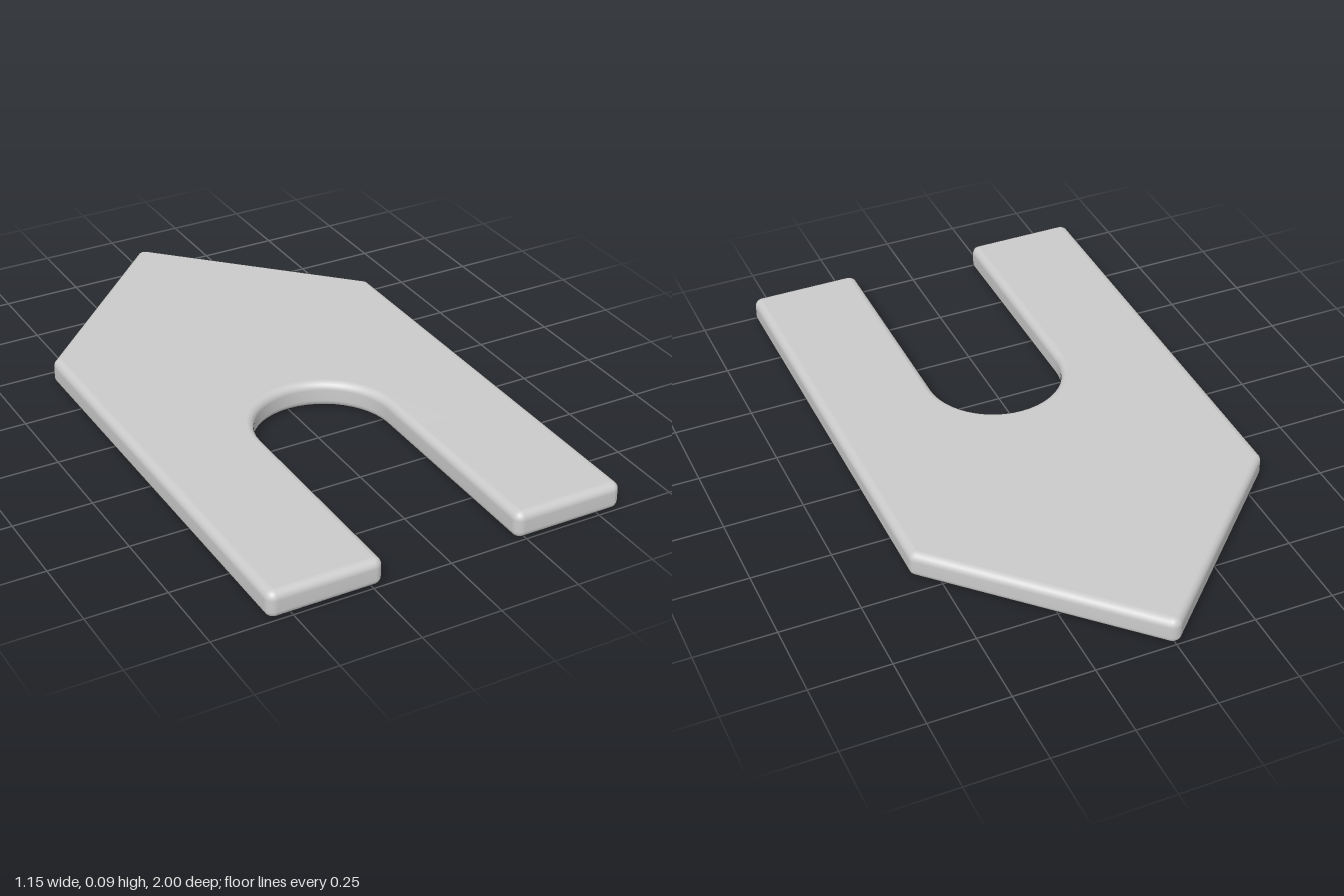
import * as THREE from 'three';
import { mergeVertices } from 'three/addons/utils/BufferGeometryUtils.js';

const HALF_WIDTH = 0.575;
const SLOT = 0.215;      // half width of the slot and radius of its arch
const ARCH_Z = 0.29;     // centre of the arch
const HEIGHT = 0.086;
const CORNER = 0.028;    // rounding of the outline corners
const FILLET = 0.025;    // rounding of the top and bottom edges

export function createModel() {
  const group = new THREE.Group();
  const shape = new THREE.Shape();
  const corner = (x, y, from, to) => shape.absarc(
    x, y, CORNER, THREE.MathUtils.degToRad(from), THREE.MathUtils.degToRad(to), false);

  // Outline, drawn with the pointed back end up (shape y = -z)
  const side = HALF_WIDTH - CORNER;
  const shoulder = 1 - HALF_WIDTH;
  const foot = -1 + CORNER;
  corner(side, foot, -90, 0);
  corner(side, shoulder, 0, 45);
  corner(0, 1 - CORNER, 45, 135);
  corner(-side, shoulder, 135, 180);
  corner(-side, foot, 180, 270);
  corner(-SLOT - CORNER, foot, 270, 360);
  shape.absarc(0, -ARCH_Z, SLOT, Math.PI, 0, true);
  corner(SLOT + CORNER, foot, 180, 270);

  // Plate with filleted edges, laid flat on the ground
  let geometry = new THREE.ExtrudeGeometry(shape, {
    depth: HEIGHT - 2 * FILLET,
    bevelThickness: FILLET,
    bevelSize: FILLET,
    bevelOffset: -FILLET,
    bevelSegments: 6,
    curveSegments: 12,
  });
  geometry.rotateX(-Math.PI / 2);
  geometry.translate(0, FILLET, 0);

  // Shared vertices give smooth fillets and keep the large faces flat
  geometry.deleteAttribute('normal');
  geometry.deleteAttribute('uv');
  geometry = mergeVertices(geometry, 1e-5);
  geometry.computeVertexNormals();

  const plate = new THREE.Mesh(geometry, new THREE.MeshStandardMaterial({ color: 0xcccccc }));
  plate.name = 'slottedPlate';
  group.add(plate);
  return group;
}
